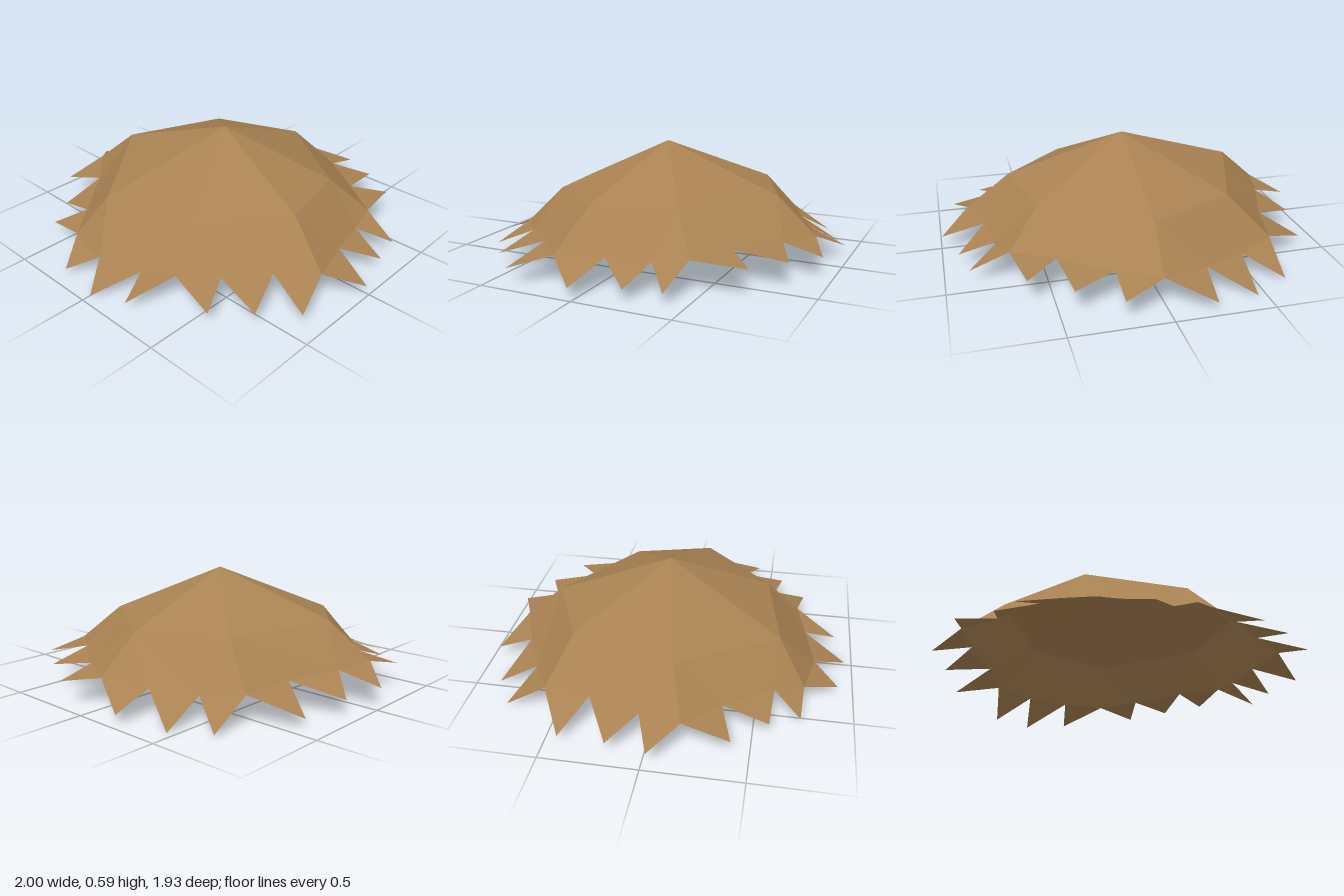
import * as THREE from 'three';

const SIDES = 7, TEETH = 3;

// Points run clockwise seen from above, starting at the back: [x, y, z]
const apex = [0, 0.59, -0.02];
const eaves = [
  [0, 0.34, -0.65], [0.51, 0.34, -0.31], [0.61, 0.35, 0.12], [0.27, 0.33, 0.5],
  [-0.26, 0.31, 0.6], [-0.64, 0.37, 0.1], [-0.45, 0.35, -0.45],
];
// Rim: one corner and two notches per side
const rim = [
  [0.01, 0.15, -0.86], [0.22, 0.16, -0.75], [0.47, 0.17, -0.58],
  [0.68, 0.16, -0.44], [0.72, 0.14, -0.27], [0.77, 0.145, -0.05],
  [0.84, 0.145, 0.19], [0.67, 0.15, 0.35], [0.5, 0.14, 0.54],
  [0.33, 0.14, 0.68], [0.14, 0.1, 0.735], [-0.12, 0.09, 0.79],
  [-0.37, 0.1, 0.74], [-0.47, 0.14, 0.59], [-0.665, 0.165, 0.345],
  [-0.85, 0.18, 0.17], [-0.8, 0.17, -0.04], [-0.7, 0.16, -0.31],
  [-0.65, 0.14, -0.56], [-0.455, 0.12, -0.665], [-0.23, 0.13, -0.77],
];
// Ragged leaf tips, three per side
const tips = [
  [0.22, 0.11, -0.95], [0.43, 0.13, -0.84], [0.63, 0.14, -0.71],
  [0.88, 0.06, -0.4], [0.92, 0.065, -0.22], [0.995, 0.06, 0.02],
  [0.91, 0.07, 0.42], [0.75, 0.08, 0.575], [0.58, 0.07, 0.715],
  [0.21, 0.04, 0.905], [0.01, 0.01, 0.96], [-0.24, 0.025, 0.92],
  [-0.59, 0.07, 0.73], [-0.68, 0.09, 0.58], [-0.87, 0.12, 0.41],
  [-1, 0.105, 0.03], [-0.94, 0.085, -0.18], [-0.89, 0.05, -0.43],
  [-0.65, 0.01, -0.775], [-0.46, 0, -0.88], [-0.22, 0.05, -0.97],
];

// Flat-faceted mesh from a list of corner triples
function facetMesh(name, triangles, material) {
  const geometry = new THREE.BufferGeometry();
  geometry.setAttribute('position', new THREE.Float32BufferAttribute(triangles.flat(2), 3));
  geometry.computeVertexNormals();
  const mesh = new THREE.Mesh(geometry, material);
  mesh.name = name;
  return mesh;
}

export function createModel() {
  const group = new THREE.Group();
  group.name = 'thatchedRoof';
  const thatch = new THREE.MeshStandardMaterial({
    color: 0xa98252, side: THREE.DoubleSide, flatShading: true,
  });
  thatch.name = 'dry thatch';

  const crown = [], skirt = [], fringe = [];
  const rimAt = (k) => rim[k % rim.length];

  for (let i = 0; i < SIDES; i++) {
    const a = eaves[i], b = eaves[(i + 1) % SIDES];
    const [c0, v1, v2, c1] = [0, 1, 2, 3].map((k) => rimAt(i * TEETH + k));
    // Upper cone facet
    crown.push([apex, b, a]);
    // Steeper lower panel, fanned down to the notches
    skirt.push([a, v1, c0], [a, b, v1], [b, v2, v1], [b, c1, v2]);
    // Pointed leaf ends
    for (let k = 0; k < TEETH; k++) {
      const n = i * TEETH + k;
      fringe.push([rimAt(n), rimAt(n + 1), tips[n]]);
    }
  }

  group.add(
    facetMesh('crown', crown, thatch),
    facetMesh('skirt', skirt, thatch),
    facetMesh('leafFringe', fringe, thatch),
  );
  return group;
}
